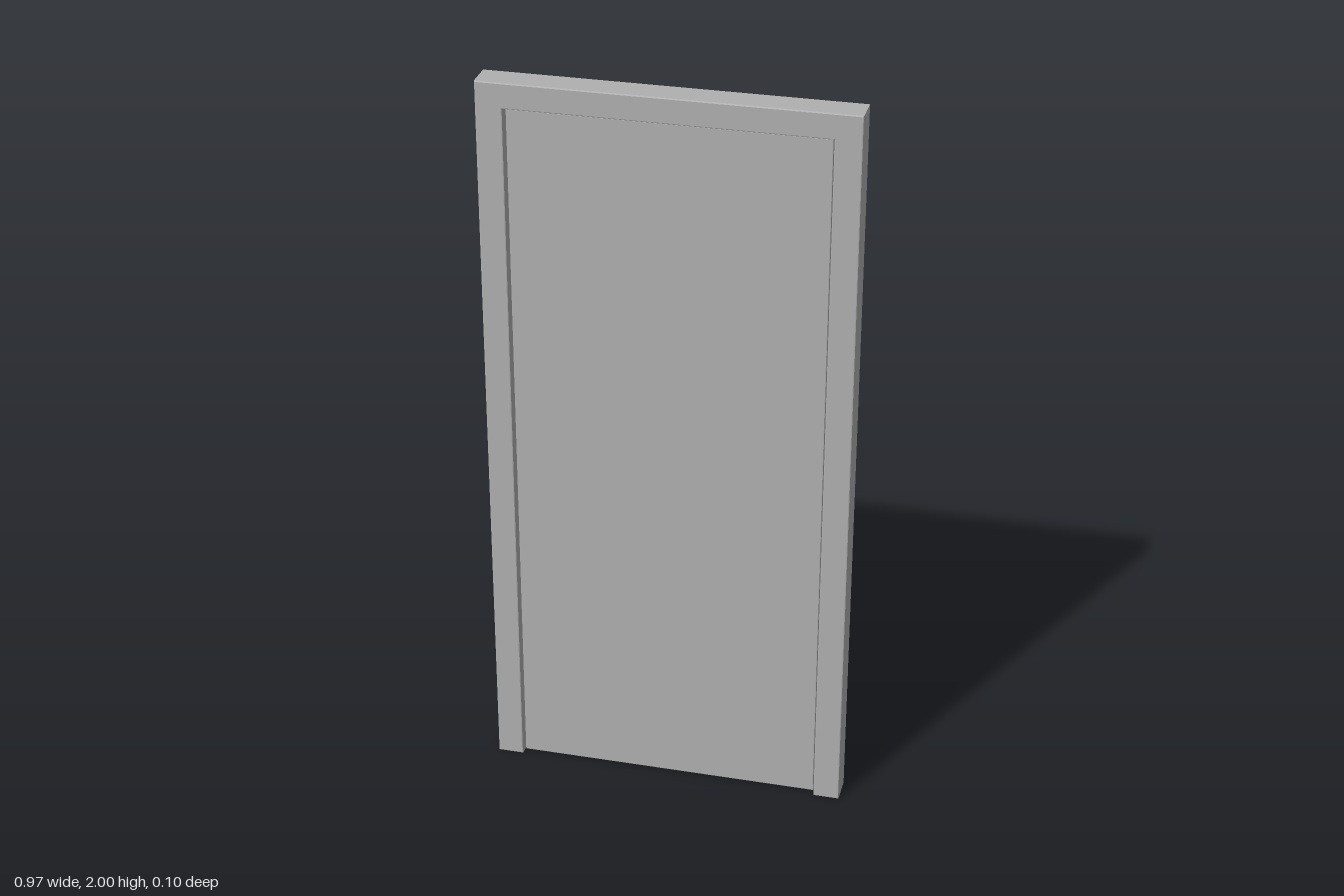
import * as THREE from 'three';
import { RoundedBoxGeometry } from 'three/addons/geometries/RoundedBoxGeometry.js';

const grey = new THREE.MeshStandardMaterial({ color: 0xb0b0b0 });
grey.name = 'plain grey';

function add(parent, name, geometry, x = 0, y = 0, z = 0) {
  const mesh = new THREE.Mesh(geometry, grey);
  mesh.name = name;
  mesh.position.set(x, y, z);
  parent.add(mesh);
  return mesh;
}

function outline(points) {
  return new THREE.Shape(points.map(([x, y]) => new THREE.Vector2(x, y)));
}

// Extrudes a shape from z0 to z1 with a small bevel that keeps the outer size
function slab(shape, z0, z1, bevel) {
  const geometry = new THREE.ExtrudeGeometry(shape, {
    depth: z1 - z0 - 2 * bevel, bevelEnabled: bevel > 0, bevelSize: bevel,
    bevelThickness: bevel, bevelOffset: -bevel, bevelSegments: 2, curveSegments: 16,
  });
  return geometry.translate(0, 0, z0 + bevel);
}

const rect = (x0, y0, x1, y1) => [[x0, y0], [x1, y0], [x1, y1], [x0, y1]];

// Pillow panel facing -z, with bowed edges and a soft bulge
function pillow(hx, hy, rise) {
  const geometry = new THREE.PlaneGeometry(2, 2, 32, 48);
  const p = geometry.attributes.position;
  for (let i = 0; i < p.count; i++) {
    const u = p.getX(i), v = p.getY(i);
    const bulge = rise * (1 - u ** 4) * (1 - v ** 8);
    p.setXYZ(i, hx * u * (1 - 0.02 * v ** 6), hy * v * (1 - 0.035 * u ** 4), bulge);
  }
  geometry.computeVertexNormals();
  return geometry.rotateY(Math.PI);
}

export function createModel() {
  const model = new THREE.Group();
  model.name = 'door';

  // Frame: two jambs and a head, open at the bottom
  add(model, 'frame', slab(outline([
    [-0.485, 0], [-0.415, 0], [-0.415, 1.932], [0.415, 1.932],
    [0.415, 0], [0.485, 0], [0.485, 2], [-0.485, 2],
  ]), -0.032, 0.05, 0.003));

  // Leaf: plain front slab with a raised border on the back
  const leaf = new THREE.Group();
  leaf.name = 'leaf';
  model.add(leaf);
  add(leaf, 'frontSlab', slab(outline(rect(-0.411, 0.005, 0.411, 1.928)), 0.005, 0.034, 0.002));
  const border = outline(rect(-0.411, 0.005, 0.411, 1.928));
  border.holes.push(new THREE.Path(rect(-0.355, 0.115, 0.355, 1.8).map(([x, y]) => new THREE.Vector2(x, y))));
  add(leaf, 'backBorder', slab(border, -0.01, 0.006, 0));
  add(leaf, 'pillowPanel', pillow(0.347, 0.834, 0.018), 0, 0.9575, -0.007);

  // Panel rim: closes the side of the pillow down to the slab
  const rim = [];
  const steps = 16;
  for (let side = 0; side < 4; side++) {
    for (let i = 0; i < steps; i++) {
      const t = -1 + (2 * i) / steps;
      const [u, v] = [[t, -1], [1, t], [-t, 1], [-1, -t]][side];
      rim.push([0.347 * u * (1 - 0.02 * v ** 6), 0.834 * v * (1 - 0.035 * u ** 4)]);
    }
  }
  add(leaf, 'panelRim', slab(outline(rim), -0.0065, 0.006, 0), 0, 0.9575, 0);

  // Hinges
  for (const y of [0.415, 1.515]) {
    add(model, 'hinge', new RoundedBoxGeometry(0.026, 0.096, 0.01, 2, 0.002), -0.419, y, -0.036);
  }

  // Handle: round rosette, hub and hanging lever
  const handle = new THREE.Group();
  handle.name = 'handle';
  handle.position.set(0.321, 0.937, 0);
  model.add(handle);
  const rosette = new THREE.LatheGeometry([
    [0.024, 0], [0.024, 0.024], [0.022, 0.028], [0.017, 0.031], [0.009, 0.032], [0, 0.032],
  ].map(([r, h]) => new THREE.Vector2(r, h)), 32);
  add(handle, 'rosette', rosette.rotateX(-Math.PI / 2), 0, 0, -0.012);
  const hub = new THREE.SphereGeometry(0.009, 20, 12).scale(1, 1, 0.9);
  add(handle, 'hub', hub, 0, 0, -0.042);
  const grip = new THREE.CapsuleGeometry(0.007, 0.055, 6, 16).scale(1.1, 1, 0.75);
  add(handle, 'lever', grip, 0, -0.033, -0.0455);

  return model;
}
